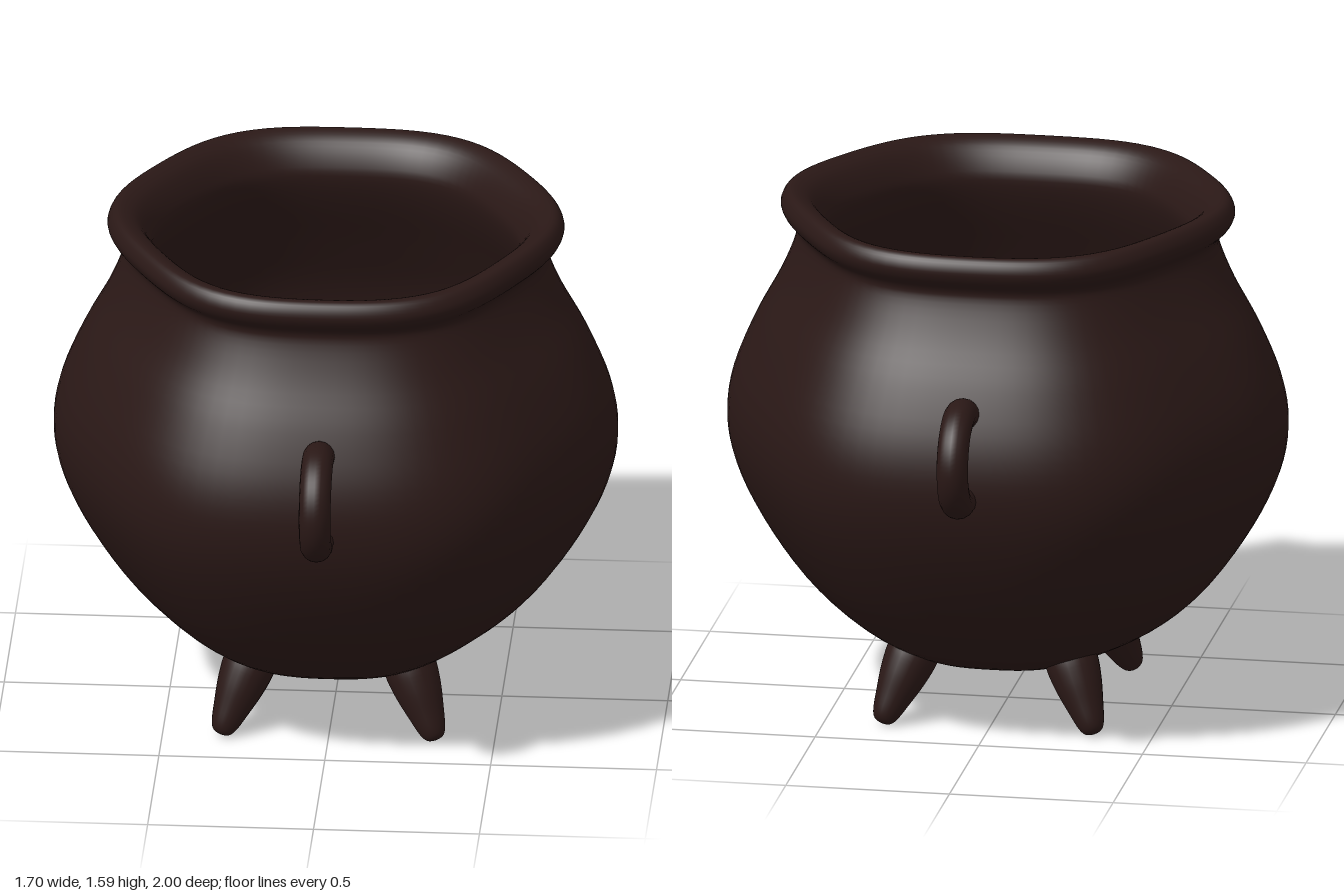
import * as THREE from 'three';
import { mergeVertices } from 'three/addons/utils/BufferGeometryUtils.js';

const iron = new THREE.MeshStandardMaterial({ color: 0x2a1816 });

function add(parent, name, geometry) {
  const mesh = new THREE.Mesh(geometry, iron);
  mesh.name = name;
  parent.add(mesh);
  return mesh;
}

// Hollow pot: one profile runs up the outside, over the rim and down the inside
function potGeometry() {
  const profile = new THREE.SplineCurve([
    [0, 0.13], [0.17, 0.14], [0.34, 0.188], [0.5, 0.28], [0.63, 0.405], [0.75, 0.58],
    [0.825, 0.74], [0.85, 0.88], [0.83, 1.02], [0.765, 1.18], [0.69, 1.32], [0.645, 1.43],
    [0.643, 1.475], [0.675, 1.51], [0.688, 1.545], [0.673, 1.58], [0.645, 1.588],
    [0.6, 1.565], [0.565, 1.51], [0.555, 1.45], [0.59, 1.34], [0.67, 1.18], [0.74, 1.02],
    [0.76, 0.88], [0.735, 0.75], [0.66, 0.59], [0.54, 0.43], [0.4, 0.31], [0.2, 0.235], [0, 0.22],
  ].map(([r, y]) => new THREE.Vector2(r, y)));
  const points = profile.getPoints(116);
  points.forEach((p) => { p.x = Math.max(p.x, 0); });
  let geometry = new THREE.LatheGeometry(points, 96);

  // Softly six-sided outline and a slight wave along the rim
  const pos = geometry.attributes.position;
  for (let i = 0; i < pos.count; i++) {
    const x = pos.getX(i), y = pos.getY(i), z = pos.getZ(i);
    const angle = Math.atan2(z, x);
    const k = (1 + 0.02 * Math.cos(6 * angle)) / 1.02;
    const lift = THREE.MathUtils.smoothstep(y, 1.3, 1.55) * 0.007 * (Math.cos(2 * angle) - 1);
    pos.setXYZ(i, x * k, y + lift, z * k);
  }
  geometry.deleteAttribute('uv');
  geometry.deleteAttribute('normal');
  geometry = mergeVertices(geometry);
  geometry.computeVertexNormals();
  return geometry;
}

// Ring handle in the y-z plane, with its ends sunk into the wall
function handle() {
  const group = new THREE.Group();
  const path = [];
  for (let i = 0; i <= 24; i++) {
    const a = THREE.MathUtils.degToRad(-112 + (240 * i) / 24);
    path.push(new THREE.Vector3(0, 0.998 + 0.135 * Math.sin(a), 0.817 + 0.135 * Math.cos(a)));
  }
  add(group, 'handleRing', new THREE.TubeGeometry(new THREE.CatmullRomCurve3(path), 48, 0.048, 16));
  for (const end of [path[0], path[24]]) {
    add(group, 'handleEnd', new THREE.SphereGeometry(0.048, 16, 12)).position.copy(end);
  }
  return group;
}

// Tapered foot with a rounded tip, built along +y from tip to top
function footGeometry(length) {
  const profile = new THREE.SplineCurve([
    [0, 0], [0.024, 0.006], [0.04, 0.03], [0.056, 0.09], [0.072, 0.16],
    [0.08, length - 0.025], [0.07, length - 0.004], [0, length],
  ].map(([r, y]) => new THREE.Vector2(r, y)));
  const points = profile.getPoints(35);
  points.forEach((p) => { p.x = Math.max(p.x, 0); });
  return new THREE.LatheGeometry(points, 24);
}

export function createModel() {
  const model = new THREE.Group();
  model.name = 'cauldron';
  add(model, 'pot', potGeometry());

  // Front and back handles
  for (const side of [1, -1]) {
    const ring = handle();
    ring.name = side > 0 ? 'frontHandle' : 'backHandle';
    ring.rotation.y = side > 0 ? 0 : Math.PI;
    model.add(ring);
  }

  // Four splayed feet
  for (const sx of [1, -1]) {
    for (const sz of [1, -1]) {
      const tip = new THREE.Vector3(0.325 * sx, 0.005, 0.347 * sz);
      const top = new THREE.Vector3(0.236 * sx, 0.224, 0.262 * sz);
      const axis = top.clone().sub(tip);
      const name = (sz > 0 ? 'front' : 'back') + (sx > 0 ? 'Left' : 'Right') + 'Foot';
      const foot = add(model, name, footGeometry(axis.length()));
      foot.position.copy(tip);
      foot.quaternion.setFromUnitVectors(new THREE.Vector3(0, 1, 0), axis.normalize());
    }
  }
  return model;
}
